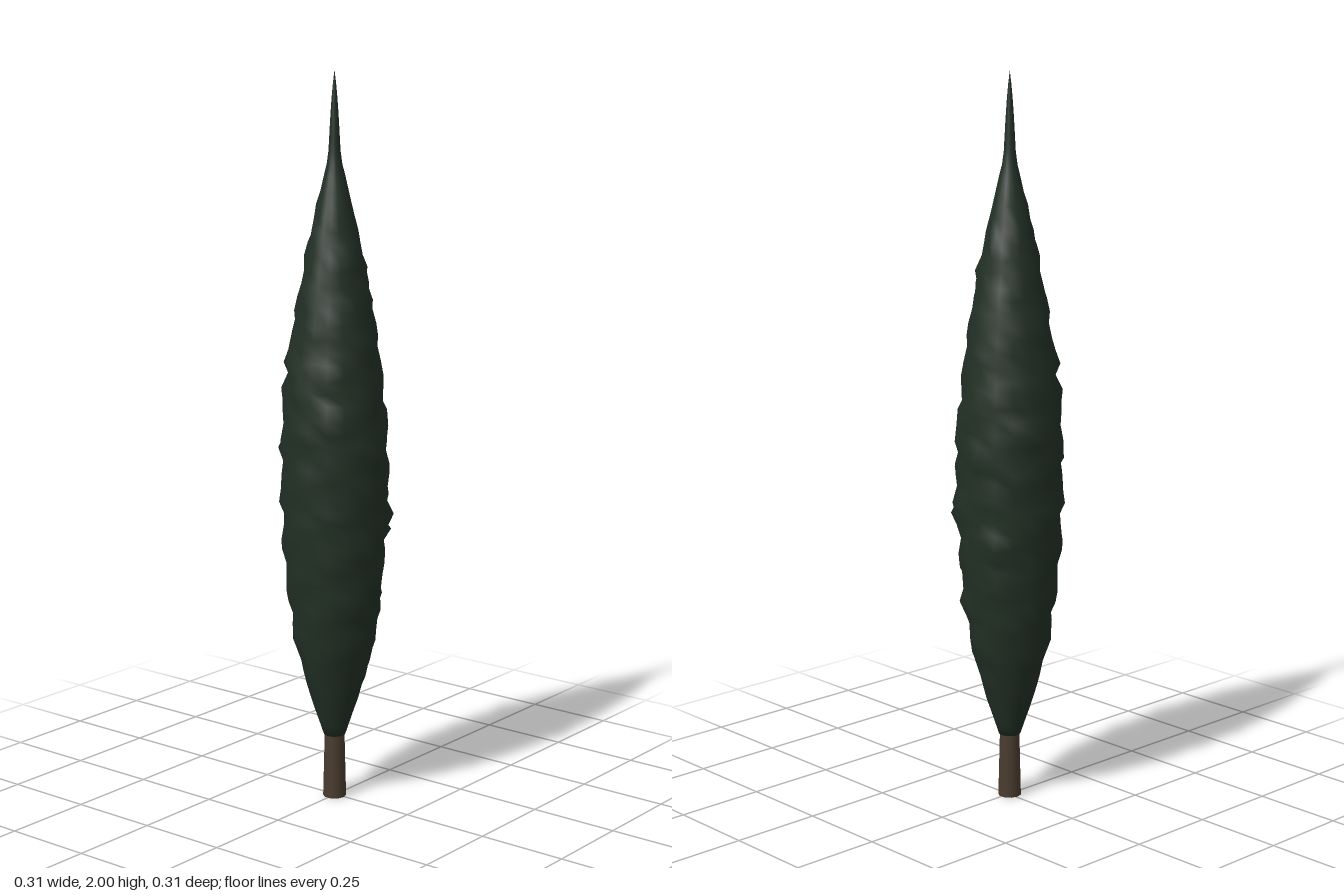
import * as THREE from 'three';
import { mergeVertices } from 'three/addons/utils/BufferGeometryUtils.js';

const SIDES = 18, RINGS = 52, BASE = 0.18;

// repeatable noise from 0 to 1 for a ring and column
function noise(i, j) {
  const s = Math.sin(i * 127.1 + j * 311.7) * 43758.5453;
  return s - Math.floor(s);
}

// mean crown radius at each height
const crown = [
  [0.18, 0.03], [0.3, 0.07], [0.45, 0.11], [0.6, 0.13], [0.75, 0.143], [0.9, 0.146], [1.05, 0.144],
  [1.2, 0.128], [1.35, 0.107], [1.5, 0.08], [1.65, 0.046], [1.77, 0.017], [1.88, 0.011], [1.95, 0.006], [2, 0],
];
function crownRadius(y) {
  for (let i = 1; i < crown.length; i++) {
    const [y0, r0] = crown[i - 1], [y1, r1] = crown[i];
    if (y <= y1) return r0 + (r1 - r0) * (y - y0) / (y1 - y0);
  }
  return 0;
}

function foliageGeometry() {
  const points = [new THREE.Vector2(0, BASE)];
  for (let i = 0; i <= RINGS; i++) {
    const y = BASE + (2 - BASE) * i / RINGS;
    points.push(new THREE.Vector2(i === RINGS ? 0 : crownRadius(y), y));
  }
  let geo = new THREE.LatheGeometry(points, SIDES);
  const pos = geo.attributes.position, rows = points.length;
  // spiral ridges with ragged tufts, fading out at both ends
  for (let k = 0; k < pos.count; k++) {
    const ring = k % rows, col = Math.floor(k / rows) % SIDES;
    const y = pos.getY(k), a = col / SIDES * Math.PI * 2;
    const fade = THREE.MathUtils.smoothstep(y, 0.2, 0.5) * (1 - THREE.MathUtils.smoothstep(y, 1.5, 1.78));
    const n = noise(ring, col);
    const tuft = n > 0.94 ? 0.07 : 0;
    const f = 1 + fade * (0.035 * Math.sin(3 * a - 48 * y) + 0.05 * (n - 0.6) + tuft);
    const drop = ring > 1 && ring < rows - 1 ? fade * 0.012 * (noise(col, ring + 9) - 0.5) : 0;
    pos.setXYZ(k, pos.getX(k) * f, y + drop, pos.getZ(k) * f);
  }
  geo.deleteAttribute('uv');
  geo.deleteAttribute('normal');
  geo = mergeVertices(geo, 1e-5);
  geo.computeVertexNormals();
  return geo;
}

export function createModel() {
  const group = new THREE.Group();
  const leafGreen = new THREE.MeshStandardMaterial({ name: 'dark leaf green', color: 0x223025 });
  const barkBrown = new THREE.MeshStandardMaterial({ name: 'bark brown', color: 0x4a3c2f });

  const foliage = new THREE.Mesh(foliageGeometry(), leafGreen);
  foliage.name = 'foliage';
  foliage.position.x = -0.004;

  const trunk = new THREE.Mesh(new THREE.CylinderGeometry(0.027, 0.032, 0.2, 10), barkBrown);
  trunk.name = 'trunk';
  trunk.position.set(-0.004, 0.1, 0);

  group.add(foliage, trunk);
  return group;
}
